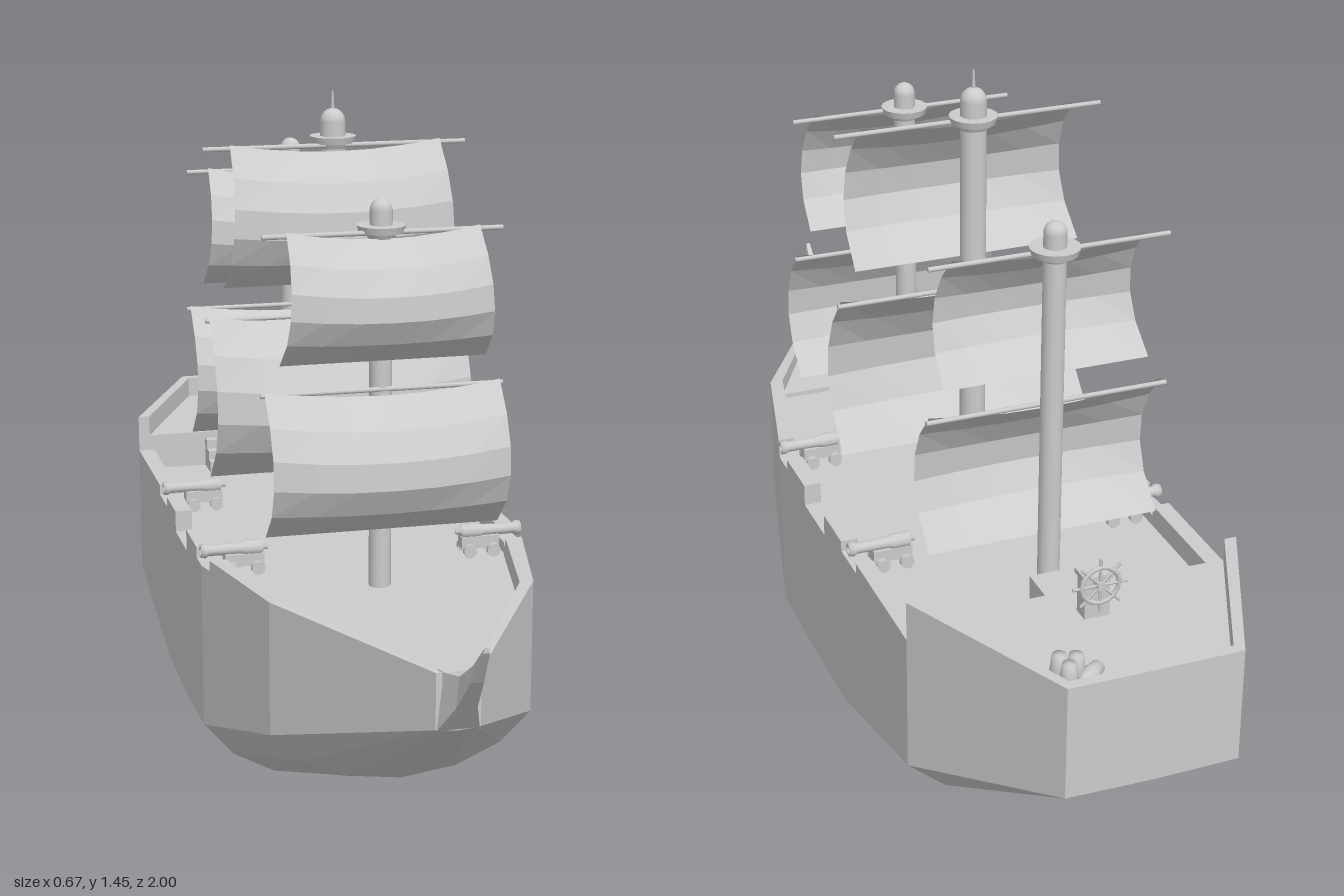
import * as THREE from 'three';

const flat = new THREE.MeshStandardMaterial({ color: 0xcccccc, flatShading: true });
const smooth = new THREE.MeshStandardMaterial({ color: 0xcccccc });
const sheet = new THREE.MeshStandardMaterial({ color: 0xcccccc, flatShading: true, side: THREE.DoubleSide });

function add(parent, name, geo, mat, x = 0, y = 0, z = 0) {
  const m = new THREE.Mesh(geo, mat);
  m.name = name;
  m.position.set(x, y, z);
  parent.add(m);
  return m;
}

// Closed solid through equal-sized cross-section rings, turned outward by its signed volume
function loft(rings) {
  const n = rings[0].length, tris = [];
  for (let i = 0; i + 1 < rings.length; i++)
    for (let j = 0; j < n; j++) {
      const k = (j + 1) % n, a = rings[i][j], b = rings[i][k], c = rings[i + 1][k], d = rings[i + 1][j];
      tris.push([a, b, c], [a, c, d]);
    }
  const first = rings[0], last = rings[rings.length - 1];
  for (let j = 1; j + 1 < n; j++) {
    tris.push([first[0], first[j + 1], first[j]], [last[0], last[j], last[j + 1]]);
  }
  const V = p => new THREE.Vector3(...p);
  const volume = tris.reduce((s, [a, b, c]) => s + V(a).dot(V(b).cross(V(c))), 0);
  const pos = tris.flatMap(t => (volume < 0 ? [t[0], t[2], t[1]] : t).flat());
  const g = new THREE.BufferGeometry();
  g.setAttribute('position', new THREE.Float32BufferAttribute(pos, 3));
  g.computeVertexNormals();
  return g;
}

// Half-width of the ship's plan at z
const PLAN = [[-1, 0.17], [-0.64, 0.335], [0.15, 0.335], [0.46, 0.262], [0.84, 0.042]];
function halfWidth(z) {
  for (let i = 0; i + 1 < PLAN.length; i++) {
    const [z0, w0] = PLAN[i], [z1, w1] = PLAN[i + 1];
    if (z <= z1) return w0 + (w1 - w0) * (z - z0) / (z1 - z0);
  }
  return PLAN[PLAN.length - 1][1];
}

const DECK = 0.515, POOP = 0.595;

function buildHull(g) {
  // Station: z, chine height, bilge x/y, floor x/y, keel height
  const stations = [
    [-1, 0.41, 0.13, 0.409, 0.07, 0.408, 0.407],
    [-0.64, 0.28, 0.26, 0.215, 0.15, 0.175, 0.165],
    [-0.27, 0.19, 0.28, 0.125, 0.2, 0.072, 0.053],
    [-0.08, 0.185, 0.275, 0.11, 0.2, 0.035, 0],
    [0.15, 0.195, 0.275, 0.125, 0.19, 0.078, 0.06],
    [0.46, 0.29, 0.2, 0.23, 0.11, 0.19, 0.175],
    [0.84, 0.432, 0.03, 0.43, 0.015, 0.429, 0.428],
  ];
  add(g, 'hull', loft(stations.map(([z, c, bx, by, fx, fy, k]) => {
    const side = [[halfWidth(z), DECK], [halfWidth(z), c], [bx, by], [fx, fy]];
    return [...side, [0, k], ...side.slice().reverse().map(([x, y]) => [-x, y])].map(([x, y]) => [x, y, z]);
  })), flat);

  // Slightly raised foredeck
  add(g, 'foredeck', loft([0.46, 0.83].map(z => {
    const w = halfWidth(z) - 0.008;
    return [[w, 0.5, z], [w, 0.525, z], [-w, 0.525, z], [-w, 0.5, z]];
  })), flat);

  // Poop deck
  add(g, 'poopDeck', loft([-0.99, -0.64].map(z => {
    const w = halfWidth(z) - 0.01;
    return [[w, 0.5, z], [w, POOP, z], [-w, POOP, z], [-w, 0.5, z]];
  })), flat);

  // Bulwarks with gun ports: z0, top0, z1, top1, thickness0, thickness1
  const walls = [
    [-1, 0.64, -0.64, 0.64, 0.022, 0.025],
    [-0.64, 0.56, -0.35, 0.56, 0.035, 0.035],
    [-0.35, 0.538, -0.26, 0.538, 0.035, 0.035],
    [-0.26, 0.56, -0.15, 0.56, 0.035, 0.035],
    [-0.02, 0.56, 0.1, 0.56, 0.035, 0.035],
    [0.1, 0.538, 0.15, 0.538, 0.035, 0.035],
    [0.15, 0.538, 0.19, 0.538, 0.035, 0.035],
    [0.19, 0.56, 0.46, 0.56, 0.035, 0.028],
    [0.46, 0.56, 0.84, 0.54, 0.028, 0.012],
  ];
  for (const s of [1, -1])
    for (const [z0, t0, z1, t1, d0, d1] of walls)
      add(g, 'bulwark', loft([[z0, t0, d0], [z1, t1, d1]].map(([z, t, d]) => {
        const o = s * halfWidth(z), i = s * (halfWidth(z) - d);
        return [[o, 0.51, z], [o, t, z], [i, t, z], [i, 0.51, z]];
      })), flat);
  add(g, 'sternBulwark', new THREE.BoxGeometry(0.335, 0.13, 0.022), flat, 0, 0.575, -0.989);

  // Upswept prow: z, top, bottom, half-width
  const prow = [[0.82, 0.54, 0.432, 0.046], [0.84, 0.54, 0.43, 0.04], [0.89, 0.55, 0.49, 0.02],
    [0.95, 0.592, 0.56, 0.012], [1, 0.642, 0.632, 0.006]];
  add(g, 'prow', loft(prow.map(([z, t, b, w]) => [[w, b, z], [w * 0.7, t, z], [-w * 0.7, t, z], [-w, b, z]])), flat);

  // Stairs up to the poop, with a block between them
  add(g, 'stairBlock', new THREE.BoxGeometry(0.12, POOP - 0.51, 0.075), flat, 0, (POOP + 0.51) / 2, -0.603);
  for (const s of [1, -1])
    for (let i = 0; i < 3; i++) {
      const h = 0.065 - i * 0.02, d = 0.022 * (i + 1);
      add(g, 'step', new THREE.BoxGeometry(0.12, h, d), flat, s * 0.12, DECK + h / 2, -0.64 + d / 2);
    }
}

// Billowing sail hung from a yard
function addSail(g, z, top, bottom, wTop, wBottom, bulge, yardHalf) {
  const geo = new THREE.PlaneGeometry(2, 1, 6, 5), p = geo.attributes.position;
  for (let i = 0; i < p.count; i++) {
    const u = p.getX(i), v = 0.5 - p.getY(i);
    const belly = Math.pow(Math.sin(Math.PI * Math.pow(v, 1.1)), 0.75) || 0;
    p.setXYZ(i, u * (wTop + (wBottom - wTop) * v),
      top + (bottom - top) * v + 0.02 * (u * u - 1) * (1 - v), bulge * belly * (1 - 0.22 * u * u));
  }
  geo.computeVertexNormals();
  add(g, 'sail', geo, sheet, 0, 0, z);
  const yard = add(g, 'yard', new THREE.CylinderGeometry(0.005, 0.005, yardHalf * 2, 8), smooth, 0, top - 0.008, z - 0.004);
  yard.rotation.z = Math.PI / 2;
}

function addMast(g, z, r, platform, tip, sails, spike) {
  const m = new THREE.Group();
  m.name = 'mast';
  g.add(m);
  const shoulder = tip - r;
  add(m, 'pole', new THREE.CylinderGeometry(r, r, shoulder - 0.5, 14), smooth, 0, (shoulder + 0.5) / 2, z);
  add(m, 'cap', new THREE.SphereGeometry(r, 14, 6, 0, Math.PI * 2, 0, Math.PI / 2), smooth, 0, shoulder, z);
  add(m, 'lookout', new THREE.CylinderGeometry(0.048, 0.044, 0.014, 16), smooth, 0, platform, z);
  add(m, 'lookoutCollar', new THREE.CylinderGeometry(r + 0.01, r + 0.004, 0.012, 14), smooth, 0, platform - 0.012, z);
  if (spike) add(m, 'spike', new THREE.CylinderGeometry(0.002, 0.004, 0.04, 6), smooth, 0, tip + 0.015, z);
  for (const s of sails) addSail(m, z + r, ...s);
}

// Cannon on a wheeled carriage, muzzle toward the side s
function addCannon(g, s, z) {
  const c = new THREE.Group();
  c.name = 'cannon';
  c.position.set(0, 0, z);
  c.scale.x = 1;
  c.rotation.y = s > 0 ? 0 : Math.PI;
  g.add(c);
  const profile = [[0, 0], [0.006, 0.004], [0.005, 0.01], [0.016, 0.016], [0.016, 0.05], [0.012, 0.06],
    [0.011, 0.125], [0.015, 0.13], [0.014, 0.14], [0.007, 0.14], [0.007, 0.12]].map(p => new THREE.Vector2(...p));
  const barrel = add(c, 'barrel', new THREE.LatheGeometry(profile, 10), smooth, 0.195, 0.566, 0);
  barrel.rotation.z = -Math.PI / 2;
  add(c, 'carriage', new THREE.BoxGeometry(0.08, 0.025, 0.03), flat, 0.247, 0.545, 0);
  for (const x of [0.222, 0.272])
    for (const side of [1, -1]) {
      const w = add(c, 'carriageWheel', new THREE.CylinderGeometry(0.014, 0.014, 0.012, 10), smooth, x, 0.53, side * 0.024);
      w.rotation.x = Math.PI / 2;
    }
}

function addHelm(g) {
  const h = new THREE.Group();
  h.name = 'helm';
  g.add(h);
  add(h, 'pedestal', new THREE.BoxGeometry(0.05, 0.08, 0.035), flat, 0, POOP + 0.04, -0.725);
  add(h, 'pedestalTop', new THREE.BoxGeometry(0.058, 0.01, 0.045), flat, 0, POOP + 0.085, -0.725);
  add(h, 'helmRing', new THREE.TorusGeometry(0.037, 0.005, 6, 16), smooth, 0, 0.67, -0.754);
  const hub = add(h, 'hub', new THREE.CylinderGeometry(0.009, 0.009, 0.025, 8), smooth, 0, 0.67, -0.75);
  hub.rotation.x = Math.PI / 2;
  for (let i = 0; i < 4; i++) {
    const spoke = add(h, 'spoke', new THREE.CylinderGeometry(0.003, 0.003, 0.11, 6), smooth, 0, 0.67, -0.754);
    spoke.rotation.z = i * Math.PI / 4;
  }
}

function addBarrels(g) {
  const shape = [[0, 0], [0.013, 0], [0.017, 0.03], [0.013, 0.06], [0, 0.06]].map(p => new THREE.Vector2(...p));
  const geo = new THREE.LatheGeometry(shape, 10);
  for (const [x, z] of [[0.122, -0.925], [0.15, -0.915], [0.145, -0.948]]) add(g, 'barrel', geo, smooth, x, POOP, z);
  const lying = add(g, 'lyingBarrel', geo, smooth, 0.12, POOP + 0.017, -0.953);
  lying.rotation.set(0, 0.7, Math.PI / 2);
}

export function createModel() {
  const g = new THREE.Group();
  g.name = 'sailingShip';
  buildHull(g);
  // Sail: top, bottom, top half-width, bottom half-width, bulge, yard half-length
  const small = [[1.235, 0.978, 0.19, 0.205, 0.1, 0.237], [0.928, 0.638, 0.235, 0.235, 0.108, 0.242]];
  const large = [[1.345, 1.052, 0.22, 0.236, 0.112, 0.275], [0.992, 0.652, 0.268, 0.27, 0.118, 0.275]];
  addMast(g, 0.285, 0.022, 1.232, 1.29, small, false);
  addMast(g, -0.11, 0.026, 1.347, 1.41, large, true);
  addMast(g, -0.515, 0.022, 1.237, 1.293, small, false);
  for (const s of [1, -1]) for (const z of [0.145, -0.305]) addCannon(g, s, z);
  addHelm(g);
  addBarrels(g);
  return g;
}
